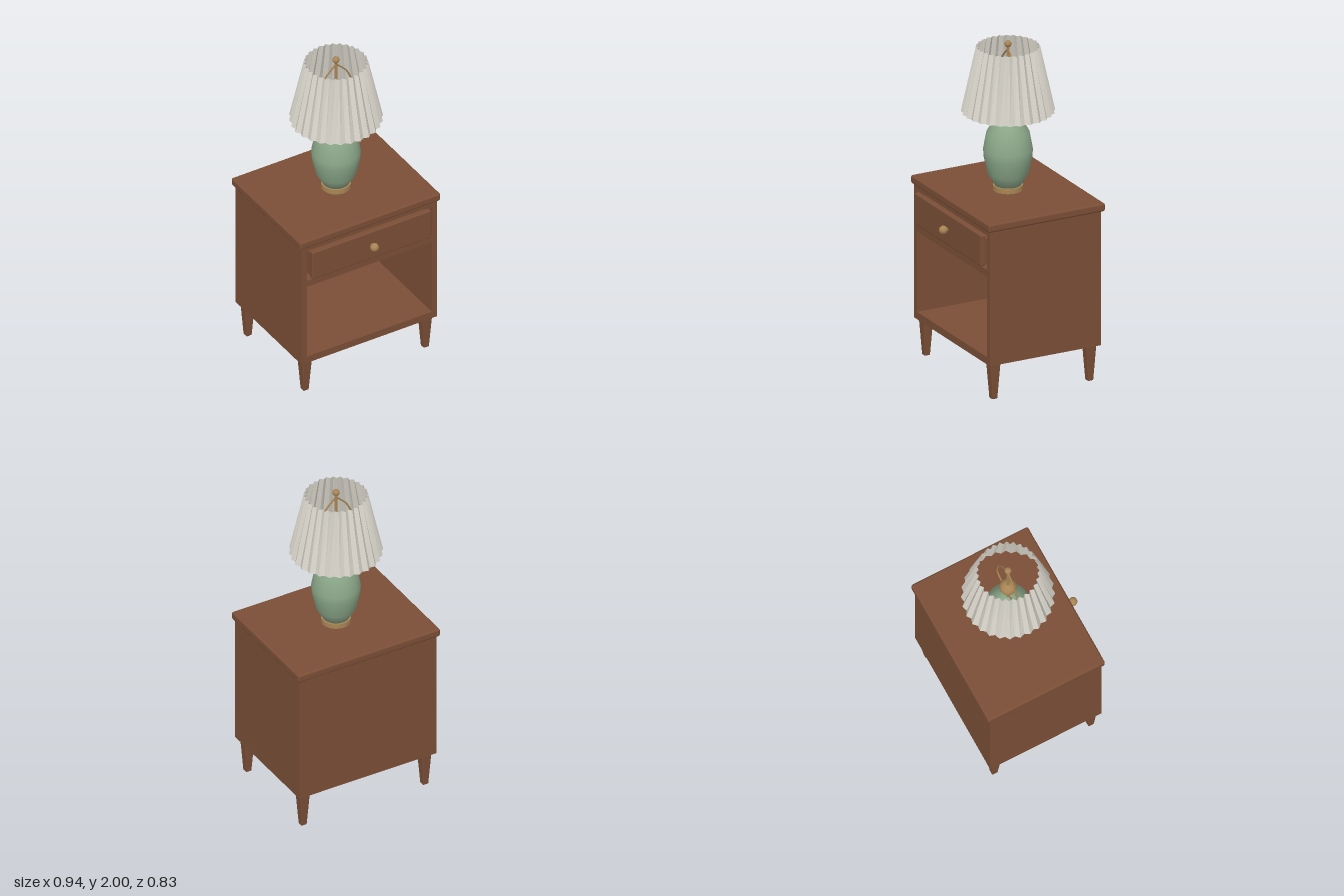
import * as THREE from 'three';
import { RoundedBoxGeometry } from 'three/addons/geometries/RoundedBoxGeometry.js';

const material = (name, color, extra = {}) => {
  const m = new THREE.MeshStandardMaterial({ color, ...extra });
  m.name = name;
  return m;
};

// Pleated cone: a zigzag ring at the bottom joined to a zigzag ring at the top
function pleatedShade(bottomR, topR, bottomY, topY, pleats, depth) {
  const n = pleats * 2, positions = [], index = [];
  for (let i = 0; i <= n; i++) {
    const a = (i / n) * Math.PI * 2, inset = i % 2 ? depth : 0;
    for (const [r, y] of [[bottomR, bottomY], [topR, topY]]) {
      positions.push(Math.sin(a) * (r - inset), y, Math.cos(a) * (r - inset));
    }
    if (i < n) {
      const k = i * 2;
      index.push(k, k + 2, k + 3, k, k + 3, k + 1);
    }
  }
  const g = new THREE.BufferGeometry();
  g.setAttribute('position', new THREE.Float32BufferAttribute(positions, 3));
  g.setIndex(index);
  const flat = g.toNonIndexed();
  flat.computeVertexNormals();
  return flat;
}

// Square leg with softened edges that narrows towards the floor
function taperedLeg(width, height, footScale) {
  const g = new RoundedBoxGeometry(width, height, width, 1, 0.006);
  const p = g.attributes.position;
  for (let i = 0; i < p.count; i++) {
    const s = THREE.MathUtils.lerp(footScale, 1, p.getY(i) / height + 0.5);
    p.setX(i, p.getX(i) * s);
    p.setZ(i, p.getZ(i) * s);
  }
  g.computeVertexNormals();
  return g;
}

export function createModel() {
  const wood = material('walnut wood', 0x7b4f37);
  const brass = material('brass', 0xa98555);
  const glaze = material('green glaze', 0x8ca88a);
  const linen = material('pleated linen', 0xdad6cc, { side: THREE.DoubleSide, flatShading: true });

  const model = new THREE.Group();
  model.name = 'nightstandWithLamp';
  const nightstand = new THREE.Group();
  nightstand.name = 'nightstand';
  const lamp = new THREE.Group();
  lamp.name = 'lamp';
  lamp.position.z = -0.035;
  model.add(nightstand, lamp);

  const add = (parent, name, geometry, mat, x = 0, y = 0, z = 0) => {
    const mesh = new THREE.Mesh(geometry, mat);
    mesh.name = name;
    mesh.position.set(x, y, z);
    parent.add(mesh);
    return mesh;
  };
  // Board given by its limits on each axis
  const board = (name, x0, x1, y0, y1, z0, z1) =>
    add(nightstand, name, new THREE.BoxGeometry(x1 - x0, y1 - y0, z1 - z0), wood,
      (x0 + x1) / 2, (y0 + y1) / 2, (z0 + z1) / 2);

  // Carcass: two sides, back, floor, divider and top rail
  board('rightSide', -0.455, -0.42, 0.22, 1.04, -0.395, 0.33);
  board('leftSide', 0.42, 0.455, 0.22, 1.04, -0.395, 0.33);
  board('backPanel', -0.42, 0.42, 0.22, 1.04, -0.395, -0.37);
  board('floorBoard', -0.42, 0.42, 0.22, 0.265, -0.37, 0.33);
  board('divider', -0.42, 0.42, 0.757, 0.8, -0.37, 0.33);
  board('topRail', -0.42, 0.42, 1.01, 1.04, -0.37, 0.33);
  add(nightstand, 'tableTop', new RoundedBoxGeometry(0.944, 0.05, 0.76, 2, 0.012), wood, 0, 1.065, -0.035);

  // Drawer with its knob
  board('drawerBox', -0.39, 0.39, 0.82, 0.98, -0.33, 0.33);
  add(nightstand, 'drawerFront', new RoundedBoxGeometry(0.8, 0.19, 0.035, 2, 0.008), wood, 0, 0.911, 0.342);
  const stem = add(nightstand, 'knobStem', new THREE.CylinderGeometry(0.01, 0.01, 0.03, 10), brass, 0, 0.914, 0.368);
  stem.rotation.x = Math.PI / 2;
  add(nightstand, 'knob', new THREE.SphereGeometry(0.026, 14, 10), brass, 0, 0.914, 0.387);

  // Legs
  const legGeometry = taperedLeg(0.064, 0.22, 0.55);
  for (const x of [-0.404, 0.404]) {
    for (const z of [-0.345, 0.28]) add(nightstand, z > 0 ? 'frontLeg' : 'backLeg', legGeometry, wood, x, 0.11, z);
  }

  // Lamp foot and ceramic body
  add(lamp, 'lampFoot', new THREE.CylinderGeometry(0.087, 0.087, 0.03, 24), brass, 0, 1.105, 0);
  const profile = [[0, 1.11], [0.075, 1.118], [0.118, 1.19], [0.14, 1.29], [0.143, 1.34],
    [0.125, 1.44], [0.075, 1.525], [0.03, 1.555], [0, 1.56]].map(([r, y]) => new THREE.Vector2(r, y));
  add(lamp, 'lampBody', new THREE.LatheGeometry(profile, 24), glaze);

  // Stem, socket, harp and finial
  add(lamp, 'lampStem', new THREE.CylinderGeometry(0.01, 0.01, 0.42, 10), brass, 0, 1.76, 0);
  add(lamp, 'socket', new THREE.SphereGeometry(0.05, 16, 12), brass, 0, 1.71, 0);
  for (const side of [-1, 1]) {
    const path = new THREE.CatmullRomCurve3([[0, 1.58], [0.128, 1.65], [0.115, 1.78], [0.07, 1.88], [0, 1.95]]
      .map(([x, y]) => new THREE.Vector3(side * x, y, 0)), false, 'catmullrom', 0.25);
    add(lamp, 'harpArm', new THREE.TubeGeometry(path, 20, 0.005, 6), brass);
  }
  add(lamp, 'finial', new THREE.SphereGeometry(0.021, 12, 8), brass, 0, 1.979, 0);

  // Shade
  add(lamp, 'pleatedShade', pleatedShade(0.271, 0.184, 1.57, 1.965, 28, 0.016), linen);

  return model;
}
